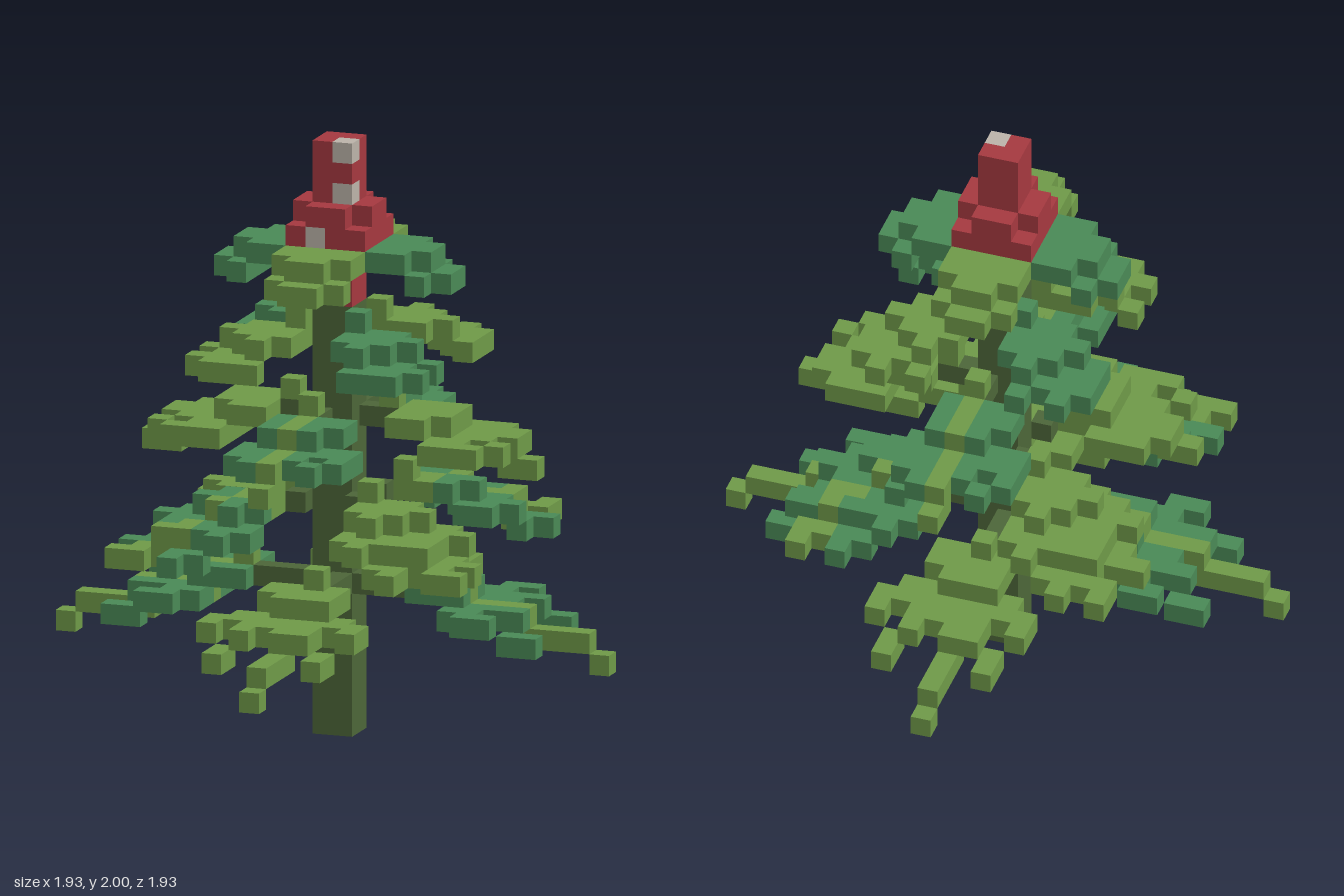
import * as THREE from 'three';
import { mergeGeometries } from 'three/addons/utils/BufferGeometryUtils.js';

const U = 2 / 29; // edge of one cube
const mat = (name, color) => {
  const m = new THREE.MeshStandardMaterial({ color });
  m.name = name;
  return m;
};

export function createModel() {
  const M = {
    light: mat('lightLeafGreen', 0x6f9a48),
    dark: mat('darkLeafGreen', 0x4a8a56),
    wood: mat('trunkOlive', 0x4d6639),
    red: mat('capRed', 0xa63940),
    white: mat('spotWhite', 0xbcb4aa),
  };
  const tree = new THREE.Group();
  tree.name = 'tree';
  const taken = new Set(); // each grid cell is filled only once

  // Cubes of one part, sorted by colour and merged into one mesh each
  class Part {
    constructor(name) { this.name = name; this.cells = {}; }
    cube(x, y, z, colour) {
      const key = `${x},${y},${z}`;
      if (taken.has(key)) return;
      taken.add(key);
      const g = new THREE.BoxGeometry(U, U, U);
      g.translate((x + 0.5) * U, (y + 0.5) * U, (z + 0.5) * U);
      (this.cells[colour] ??= []).push(g);
    }
    block(x0, x1, y0, y1, z0, z1, colour) {
      for (let x = x0; x <= x1; x++)
        for (let y = y0; y <= y1; y++)
          for (let z = z0; z <= z1; z++) this.cube(x, y, z, colour);
    }
    done() {
      const group = new THREE.Group();
      group.name = this.name;
      for (const [colour, list] of Object.entries(this.cells)) {
        const mesh = new THREE.Mesh(mergeGeometries(list), M[colour]);
        mesh.name = `${this.name}_${colour}`;
        group.add(mesh);
      }
      tree.add(group);
    }
  }

  // Trunk
  const trunk = new Part('trunk');
  trunk.block(-1, 0, 0, 20, -1, 0, 'wood');
  trunk.done();

  // Red cap with white spots
  const cap = new Part('cap');
  for (const [x, y, z] of [[0, 28, 0], [0, 26, 0], [-1, 24, 1], [-1, 21, 0]]) cap.cube(x, y, z, 'white');
  cap.block(-1, 0, 21, 28, -1, 0, 'red');
  cap.block(-2, 1, 24, 24, -2, 1, 'red');
  cap.block(-2, 1, 25, 25, -1, 0, 'red');
  cap.block(-1, 0, 25, 25, -2, 1, 'red');
  cap.done();

  const m = (v) => -1 - v; // mirror a cell index
  const arms = {
    front: (a, c) => [c, a],
    back: (a, c) => [m(c), m(a)],
    left: (a, c) => [a, c],
    right: (a, c) => [m(a), c],
  };
  const corners = {
    frontLeft: (a, c) => [a, c],
    frontRight: (a, c) => [m(a), c],
    backLeft: (a, c) => [c, m(a)],
    backRight: (a, c) => [m(c), m(a)],
  };

  // A tier repeats one branch; runs are [out0, out1, across0, across1, y]
  function tier(name, places, { wood = [], spine = [], leaflets = [] }, colours, flip = false) {
    for (const [place, put] of Object.entries(places)) {
      const part = new Part(`${name}_${place}`);
      const [spineColour, leafletColour] = colours(place);
      const fill = (runs, colour) => {
        for (const [a0, a1, c0, c1, y] of runs)
          for (let a = a0; a <= a1; a++)
            for (let c = c0; c <= c1; c++) {
              const [x, z] = put(a, flip ? m(c) : c);
              part.cube(x, y, z, colour);
            }
      };
      fill(wood, 'wood');
      fill(spine, spineColour);
      fill(leaflets, leafletColour);
      part.done();
    }
  }
  const sideways = (p) => p === 'left' || p === 'right';

  // Lowest tier, long straight branches
  tier('lowestBranch', arms, {
    wood: [[1, 3, 0, 0, 7]],
    spine: [[4, 4, 0, 0, 8], [4, 6, 0, 0, 7], [6, 9, 0, 0, 6], [9, 12, 0, 0, 5], [13, 13, 0, 0, 4]],
    leaflets: [
      [4, 5, -2, 1, 7], [6, 6, -1, 1, 7], [6, 8, -1, -1, 6],
      [6, 7, -2, -2, 6], [6, 7, 1, 1, 6], [6, 7, -3, -3, 6], [6, 7, 2, 2, 6],
      [7, 8, -4, -4, 6], [7, 8, 3, 3, 6], [8, 9, -2, -2, 6], [8, 9, 1, 1, 6],
      [9, 10, -3, -3, 5], [9, 10, 2, 2, 5],
    ],
  }, (p) => ['light', sideways(p) ? 'dark' : 'light']);

  // Second tier, diagonal branches
  tier('lowerDiagonalBranch', corners, {
    wood: [[1, 1, 1, 1, 11]],
    spine: [[2, 2, 2, 2, 12], [2, 3, 2, 3, 11], [4, 4, 4, 4, 11], [5, 5, 5, 5, 10], [5, 6, 6, 6, 10],
      [6, 7, 6, 6, 9], [7, 7, 7, 7, 9], [8, 8, 7, 7, 9]],
    leaflets: [
      [4, 5, 3, 3, 11], [3, 3, 4, 5, 11], [4, 4, 2, 2, 11], [2, 2, 4, 4, 11],
      [4, 6, 4, 4, 10], [4, 4, 5, 6, 10], [6, 6, 5, 5, 10], [5, 6, 2, 2, 10], [2, 2, 5, 6, 10],
      [6, 7, 3, 3, 10], [3, 3, 6, 7, 10],
      [7, 8, 5, 5, 9], [5, 5, 7, 8, 9], [7, 7, 4, 4, 9], [4, 4, 7, 7, 9],
    ],
  }, (p) => ['light', p === 'frontRight' || p === 'backLeft' ? 'dark' : 'light']);

  // Middle tier, straight branches
  tier('middleBranch', arms, {
    wood: [[1, 2, 0, 0, 15]],
    spine: [[2, 2, 0, 0, 16], [3, 5, 0, 0, 15], [5, 8, 0, 0, 14], [8, 9, 0, 0, 13]],
    leaflets: [
      [3, 4, -2, 1, 15], [5, 5, -1, 1, 15], [5, 7, -1, -1, 14], [5, 6, -2, -2, 14],
      [5, 7, 1, 1, 14], [5, 7, -3, -3, 14], [5, 7, 2, 2, 14], [8, 8, -2, -2, 14], [8, 8, 1, 1, 14],
    ],
  }, (p) => ['light', sideways(p) ? 'light' : 'dark'], true);

  // Fourth tier, short diagonal branches
  tier('upperDiagonalBranch', corners, {
    spine: [[1, 1, 1, 1, 20], [1, 2, 1, 2, 19], [3, 3, 3, 3, 19], [4, 5, 4, 4, 18]],
    leaflets: [
      [3, 4, 2, 2, 19], [2, 2, 3, 4, 19], [3, 3, 1, 1, 19], [1, 1, 3, 3, 19],
      [4, 4, 3, 3, 18], [3, 3, 4, 5, 18], [5, 5, 2, 2, 18], [2, 2, 5, 5, 18], [4, 4, 5, 5, 18],
    ],
  }, (p) => (p === 'frontLeft' || p === 'backRight' ? ['dark', 'dark'] : ['light', 'light']));

  // Top tier, broad drooping branches under the cap
  tier('topBranch', arms, {
    spine: [[1, 3, -1, 0, 23], [4, 4, -1, 0, 23]],
    leaflets: [[2, 3, -2, 1, 23], [4, 4, -2, 1, 22], [5, 5, -1, 0, 22]],
  }, (p) => (sideways(p) ? ['dark', 'dark'] : ['light', 'light']));

  return tree;
}
